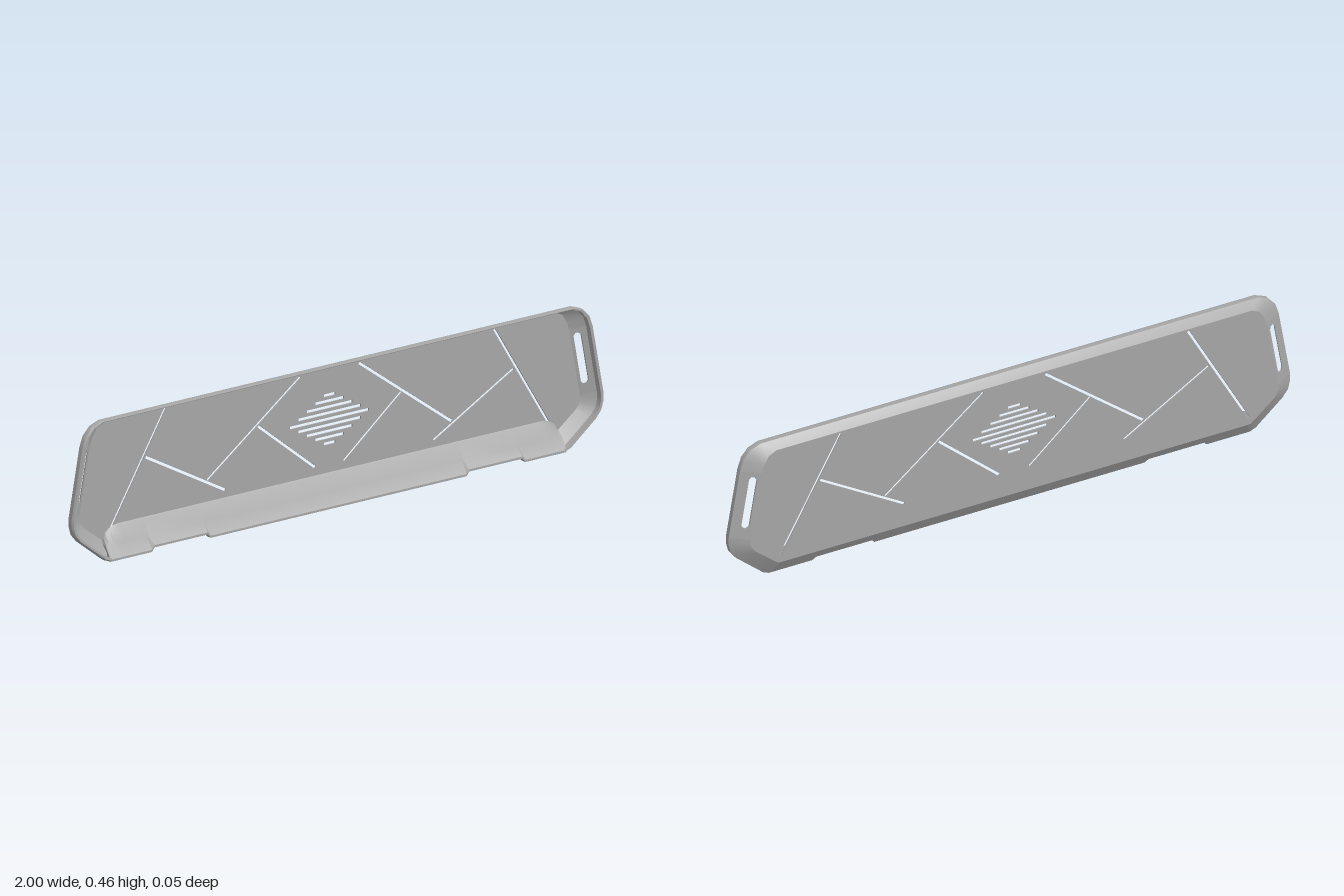
import * as THREE from 'three';
import { toCreasedNormals } from 'three/addons/utils/BufferGeometryUtils.js';

const BACK = -0.026, FOLD = 0.004, FRONT = 0.026, THICK = 0.005;

// right half of the outer outline and of the back panel, bottom to top
const outerHalf = [[0.855, 0], [0.875, 0.008], [0.97, 0.085], [0.99, 0.11], [0.998, 0.14],
  [0.997, 0.165], [0.957, 0.385], [0.945, 0.42], [0.92, 0.447], [0.885, 0.46]];
const backHalf = [[0.825, 0.045], [0.84, 0.046], [0.92, 0.108], [0.932, 0.122], [0.938, 0.137],
  [0.938, 0.154], [0.898, 0.374], [0.889, 0.4], [0.872, 0.427], [0.845, 0.44]];
const mirrored = half => [...half, ...half.slice().reverse().map(([x, y]) => [-x, y])];
const outer = mirrored(outerHalf), back = mirrored(backHalf);
const SIDE_EDGES = [5, 13]; // straight ends that carry a slot
const BOTTOM_EDGE = 19;

// join rings of points into a skin, leaving out quads where skip(band, i) is true
function loft(rings, skip = () => false) {
  const pos = [];
  for (let b = 0; b < rings.length - 1; b++) {
    const n = rings[b].length;
    for (let i = 0; i < n; i++) {
      if (skip(b, i)) continue;
      const j = (i + 1) % n, p = rings[b], q = rings[b + 1];
      pos.push(...p[i], ...q[i], ...p[j], ...p[j], ...q[i], ...q[j]);
    }
  }
  const g = new THREE.BufferGeometry();
  g.setAttribute('position', new THREE.Float32BufferAttribute(pos, 3));
  return toCreasedNormals(g, 0.5);
}

// outline moved from the outer edge (0) to the back panel edge (1)
const ring = (f, z) => outer.map(([x, y], i) =>
  [x + (back[i][0] - x) * f, y + (back[i][1] - y) * f, z]);

const polygon = pts => new THREE.Shape(pts.map(p => new THREE.Vector2(p[0], p[1])));

// thin slit from one point to another
function slit(x1, y1, x2, y2, w = 0.0085) {
  const l = Math.hypot(x2 - x1, y2 - y1);
  const nx = -(y2 - y1) / l * w / 2, ny = (x2 - x1) / l * w / 2;
  return polygon([[x1 + nx, y1 + ny], [x1 - nx, y1 - ny], [x2 - nx, y2 - ny], [x2 + nx, y2 + ny]]);
}

function backPanel() {
  const shape = polygon(back);
  // branching slits on both halves
  for (const s of [1, -1]) {
    for (const [x1, y1, x2, y2] of [
      [0.617, 0.434, 0.832, 0.07],
      [0.69, 0.291, 0.39, 0.122],
      [0.11, 0.43, 0.459, 0.168],
      [0.269, 0.304, 0.053, 0.125]]) shape.holes.push(slit(s * x1, y1, s * x2, y2));
  }
  // diamond of horizontal vents
  for (let i = -4; i <= 4; i++) {
    const y = 0.272 + i * 0.0195, w = 0.148 * (1 - Math.abs(i) / 4.7);
    shape.holes.push(slit(-w, y, w, y, 0.01));
  }
  return new THREE.ExtrudeGeometry(shape, { depth: THICK, bevelEnabled: false }).translate(0, 0, BACK);
}

// sloping end wall with a strap slot, laid along one straight edge of the outline
function slottedEnd(i) {
  const c = outer[i], e = outer[i + 1], d = back[i];
  const shape = polygon([[0, 0], [1, 0], [1, 1], [0, 1]]);
  const [u1, u2] = c[1] < e[1] ? [0.16, 0.93] : [0.07, 0.84];
  const [v1, v2] = [0.48, 0.85], r = 0.04;
  shape.holes.push(polygon([[u1 + r, v1], [u2 - r, v1], [u2, v1 + 0.1], [u2, v2 - 0.1],
    [u2 - r, v2], [u1 + r, v2], [u1, v2 - 0.1], [u1, v1 + 0.1]]));
  const g = new THREE.ExtrudeGeometry(shape, { depth: THICK, bevelEnabled: false });
  const p = g.attributes.position;
  for (let k = 0; k < p.count; k++) {
    const u = p.getX(k), v = p.getY(k), w = p.getZ(k);
    p.setXYZ(k, c[0] + u * (e[0] - c[0]) + v * (d[0] - c[0]),
      c[1] + u * (e[1] - c[1]) + v * (d[1] - c[1]), FOLD + v * (BACK - FOLD) + w);
  }
  g.computeVertexNormals();
  return g;
}

// wedge along the bottom: sloping ledge inside, chamfer outside, two notches below
function bottomLedge() {
  const section = (x, h, n = 0) => {
    const xb = Math.abs(x) > 0.78 ? x * 0.966 : x;
    return [[x, n, FRONT], [x, n + 0.007, FRONT], [x, Math.min(0.046, h - 0.01), 0],
      [x, h - 0.005, -0.017], [x, h, -0.0215], [xb, 0.05, -0.025],
      [xb, 0.045, BACK], [x, n, FOLD - n * 0.6]];
  };
  const half = [section(0.48, 0.1), section(0.49, 0.1, 0.013), section(0.69, 0.1, 0.013),
    section(0.7, 0.1), section(0.79, 0.1)];
  for (let k = 1; k <= 5; k++) {
    const a = k / 5 * Math.PI / 2;
    half.push(section(0.79 + 0.065 * Math.sin(a), 0.052 + 0.048 * Math.cos(a)));
  }
  const end = half[half.length - 1];
  half.push(end.map(() => [0.85, 0.02, 0])); // closed end
  const other = half.slice().reverse().map(r => r.map(([x, y, z]) => [-x, y, z]));
  return loft([...other, ...half]);
}

export function createModel() {
  const group = new THREE.Group();
  group.name = 'shallowTray';
  const grey = new THREE.MeshStandardMaterial({ color: 0xa6a6a6, side: THREE.DoubleSide });
  grey.name = 'grey';
  const add = (name, geometry) => {
    const mesh = new THREE.Mesh(geometry, grey);
    mesh.name = name;
    group.add(mesh);
  };

  add('backPanel', backPanel());

  // raised rim: front lip, outer wall and chamfer
  add('outerRim', loft([ring(0.22, 0.025), ring(0.08, FRONT), ring(0, 0.02), ring(0, FOLD), ring(1, BACK)],
    (b, i) => i === BOTTOM_EDGE || (b === 3 && SIDE_EDGES.includes(i))));
  // inside of the rim
  add('innerRim', loft([ring(1, BACK + THICK), ring(0.22, FOLD), ring(0.22, 0.025)],
    (b, i) => i === BOTTOM_EDGE || (b === 0 && SIDE_EDGES.includes(i))));

  SIDE_EDGES.forEach((i, k) => add(k ? 'rightSlottedEnd' : 'leftSlottedEnd', slottedEnd(i)));
  add('bottomLedge', bottomLedge());
  return group;
}
